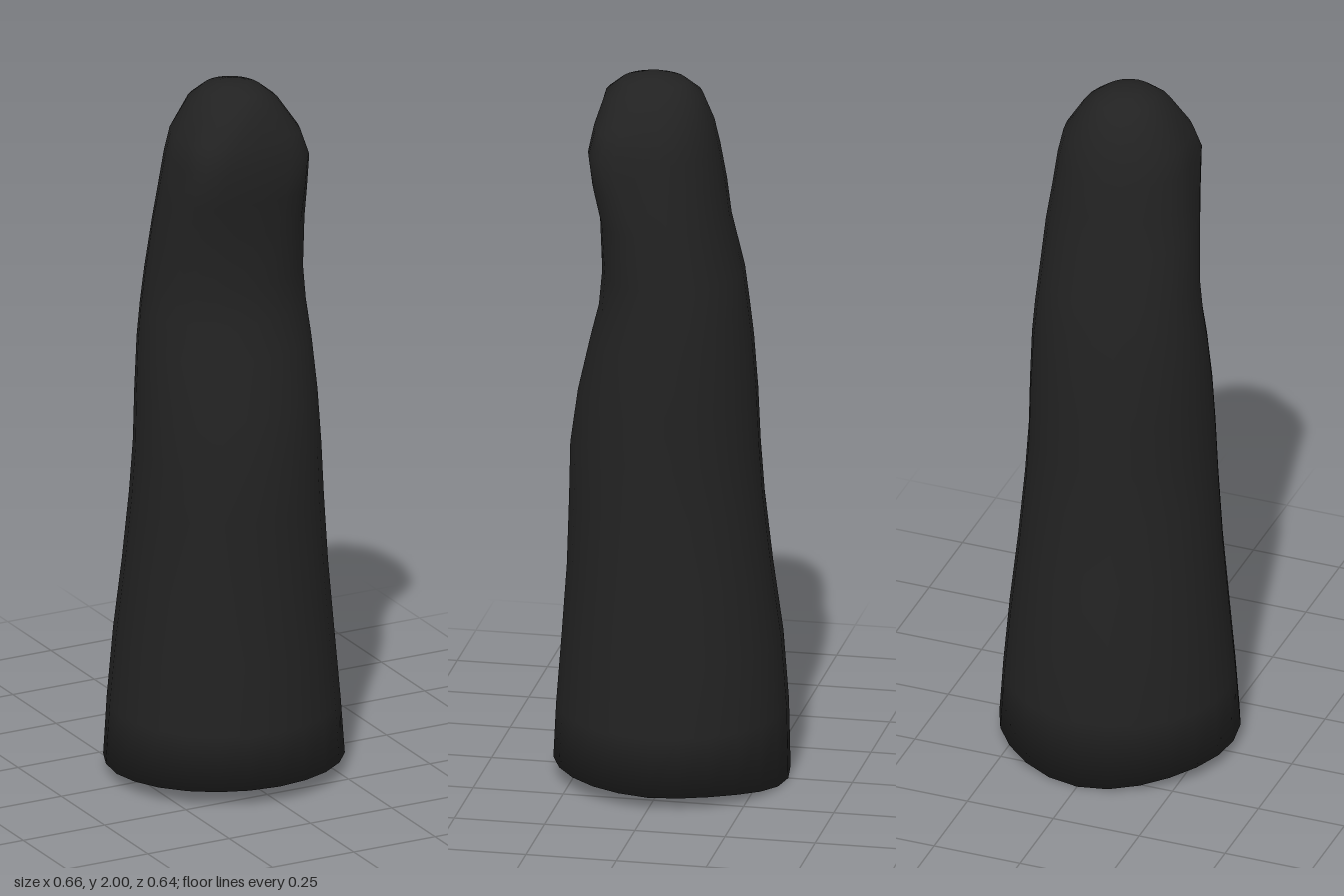
import * as THREE from 'three';

const SIDES = 24;

// Each section: height, front z, back z, half width, squareness of the front half
const SECTIONS = [
  [0.035, 0.322, -0.322, 0.33, 2],
  [0.2, 0.315, -0.318, 0.318, 2],
  [0.4, 0.3, -0.303, 0.3, 2],
  [0.6, 0.286, -0.275, 0.28, 2],
  [0.8, 0.28, -0.252, 0.264, 2],
  [0.95, 0.277, -0.241, 0.255, 2],
  [1.1, 0.256, -0.234, 0.25, 2],
  [1.25, 0.222, -0.222, 0.242, 2],
  [1.35, 0.197, -0.21, 0.232, 2],
  [1.45, 0.187, -0.197, 0.221, 2.1],
  [1.6, 0.19, -0.16, 0.211, 2.4],
  [1.7, 0.208, -0.148, 0.198, 3],
  [1.8, 0.216, -0.13, 0.187, 4],
  [1.87, 0.205, -0.114, 0.172, 3],
  [1.95, 0.182, -0.083, 0.122, 2.1],
  [1.985, 0.14, -0.04, 0.08, 2],
  [2.0, 0.09, 0.01, 0.04, 2],
];

// Skins the sections into one smooth closed surface
function loft() {
  const points = [], index = [];
  SECTIONS.forEach(([y, front, back, width, power], level) => {
    const mid = (front + back) / 2, depth = (front - back) / 2;
    for (let i = 0; i < SIDES; i++) {
      const a = (i / SIDES) * Math.PI * 2;
      const s = Math.sin(a), c = Math.cos(a);
      const e = 2 / (c > 0 ? power : 2);
      const x = width * Math.sign(s) * Math.abs(s) ** e;
      const z = mid + depth * Math.sign(c) * Math.abs(c) ** e;
      // the bottom rim dips at the back and lifts slightly at the front
      const dip = level === 0 ? (c > 0 ? 0.012 * c : -0.035 * c ** 4) : 0;
      points.push(x, y + dip, z);
    }
  });
  for (let j = 0; j < SECTIONS.length - 1; j++) {
    for (let i = 0; i < SIDES; i++) {
      const a = j * SIDES + i, b = j * SIDES + ((i + 1) % SIDES);
      index.push(a, b, b + SIDES, a, b + SIDES, a + SIDES);
    }
  }
  // Underside and tip
  const base = points.length / 3, last = (SECTIONS.length - 1) * SIDES;
  points.push(0, 0.035, 0, 0, 2, 0.05);
  for (let i = 0; i < SIDES; i++) {
    const n = (i + 1) % SIDES;
    index.push(base, n, i, base + 1, last + i, last + n);
  }
  const geometry = new THREE.BufferGeometry();
  geometry.setAttribute('position', new THREE.Float32BufferAttribute(points, 3));
  geometry.setIndex(index);
  geometry.computeVertexNormals();
  return geometry;
}

export function createModel() {
  const charcoal = new THREE.MeshStandardMaterial({ color: 0x222222 });
  charcoal.name = 'charcoal';
  const body = new THREE.Mesh(loft(), charcoal);
  body.name = 'fingerBody';
  const model = new THREE.Group();
  model.name = 'finger';
  model.add(body);
  return model;
}
